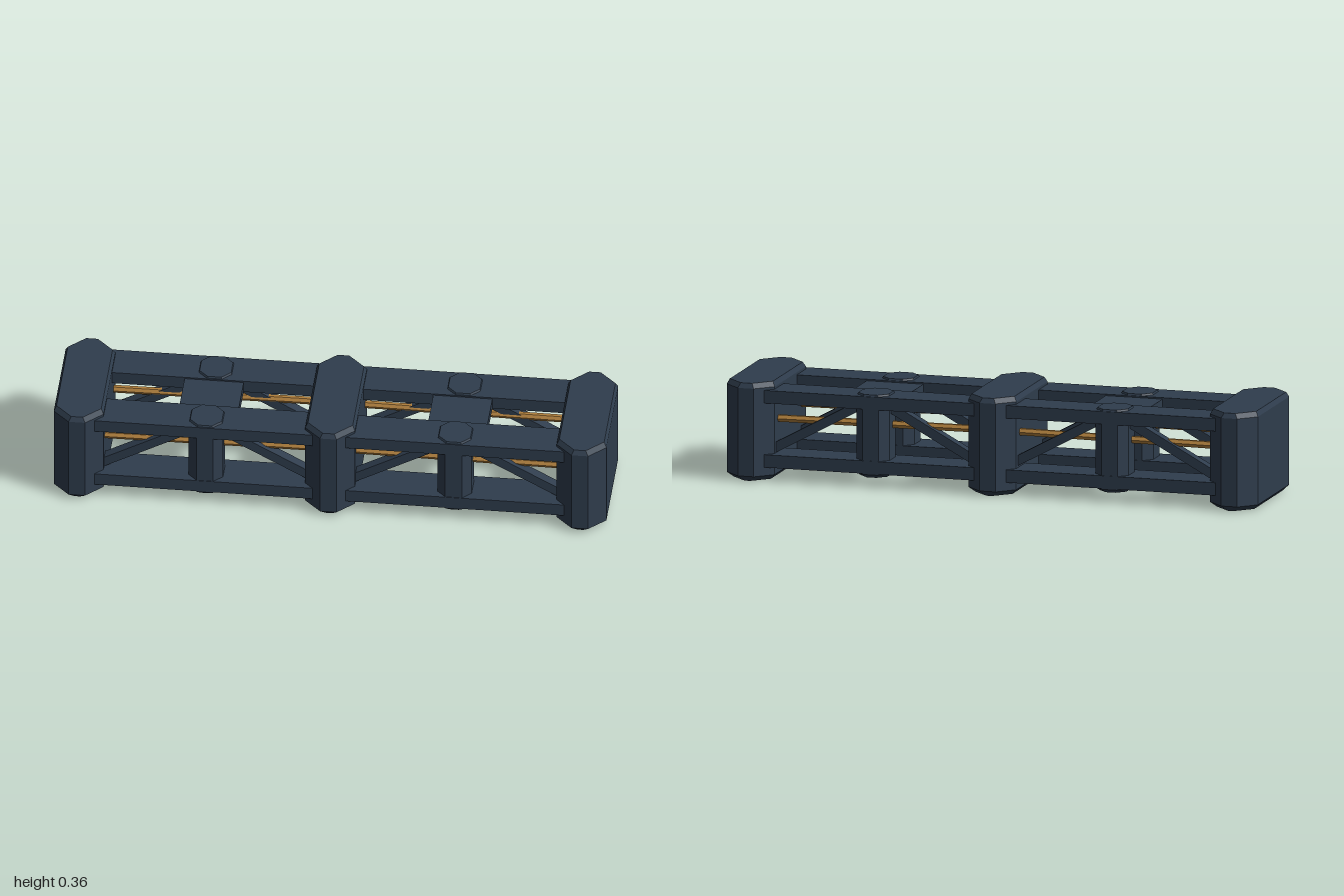
import * as THREE from 'three';

const hull = new THREE.MeshStandardMaterial({ color: 0x2f3d4d, flatShading: true });
hull.name = 'dark slate';
const brass = new THREE.MeshStandardMaterial({ color: 0xb07f3c, flatShading: true });
brass.name = 'brass';

// Octagonal block with bevelled ends; each level is [y, inset]
function chamferBlock(halfX, halfZ, chamfer, levels) {
  const rings = levels.map(([y, inset]) => {
    const a = halfX - inset, b = halfZ - inset, c = chamfer;
    return [[a, b - c], [a - c, b], [c - a, b], [-a, b - c], [-a, c - b], [c - a, -b], [a - c, -b], [a, c - b]]
      .map(([x, z]) => [x, y, z]);
  });
  const pos = [];
  const tri = (...points) => points.forEach((p) => pos.push(...p));
  const last = rings.length - 1;
  for (let i = 0; i < 8; i++) {
    const j = (i + 1) % 8;
    for (let k = 0; k < last; k++) {
      const lo = rings[k], hi = rings[k + 1];
      tri(lo[i], hi[i], lo[j]);
      tri(hi[i], hi[j], lo[j]);
    }
    tri([0, levels[0][0], 0], rings[0][i], rings[0][j]);
    tri([0, levels[last][0], 0], rings[last][j], rings[last][i]);
  }
  const geometry = new THREE.BufferGeometry();
  geometry.setAttribute('position', new THREE.Float32BufferAttribute(pos, 3));
  geometry.computeVertexNormals();
  return geometry;
}

export function createModel() {
  const model = new THREE.Group();
  model.name = 'trussSegment';

  function add(name, geometry, material, x, y, z) {
    const mesh = new THREE.Mesh(geometry, material);
    mesh.name = name;
    mesh.position.set(x, y, z);
    model.add(mesh);
    return mesh;
  }

  // End and middle bulkheads
  const bulkhead = chamferBlock(0.09, 0.25, 0.06, [[0, 0.02], [0.02, 0], [0.343, 0], [0.361, 0.009]]);
  for (const x of [-0.91, 0, 0.91]) add('bulkhead', bulkhead, hull, x, 0, 0);

  const rail = new THREE.BoxGeometry(1.76, 0.047, 0.14);
  const post = chamferBlock(0.062, 0.068, 0.032, [[0.035, 0.012], [0.047, 0], [0.328, 0], [0.34, 0.005]]);
  const brace = new THREE.BoxGeometry(0.46, 0.034, 0.04);

  for (const side of [-1, 1]) {
    const z = side * 0.15;

    // Long rails, upper and lower
    for (const y of [0.074, 0.31]) add('rail', rail, hull, 0, y, z);

    // Posts with a diagonal brace falling away on each side
    for (const bay of [-0.45, 0.45]) {
      add('post', post, hull, bay, 0, z);
      for (const dir of [-1, 1]) {
        add('brace', brace, hull, bay + dir * 0.23, 0.194, z).rotation.z = -dir * 0.5;
      }
    }

    // Conduit, slightly raised at the middle
    const path = new THREE.CatmullRomCurve3([
      [-0.86, 0.218], [-0.45, 0.221], [0, 0.224], [0.45, 0.221], [0.86, 0.218],
    ].map(([x, y]) => new THREE.Vector3(x, y, 0)));
    add('conduit', new THREE.TubeGeometry(path, 12, 0.014, 6), brass, 0, 0, side * 0.14);
  }

  // Cross plates joining the upper rails
  const plate = new THREE.BoxGeometry(0.214, 0.04, 0.18);
  for (const x of [-0.45, 0.45]) add('crossPlate', plate, hull, x, 0.308, 0);

  return model;
}
